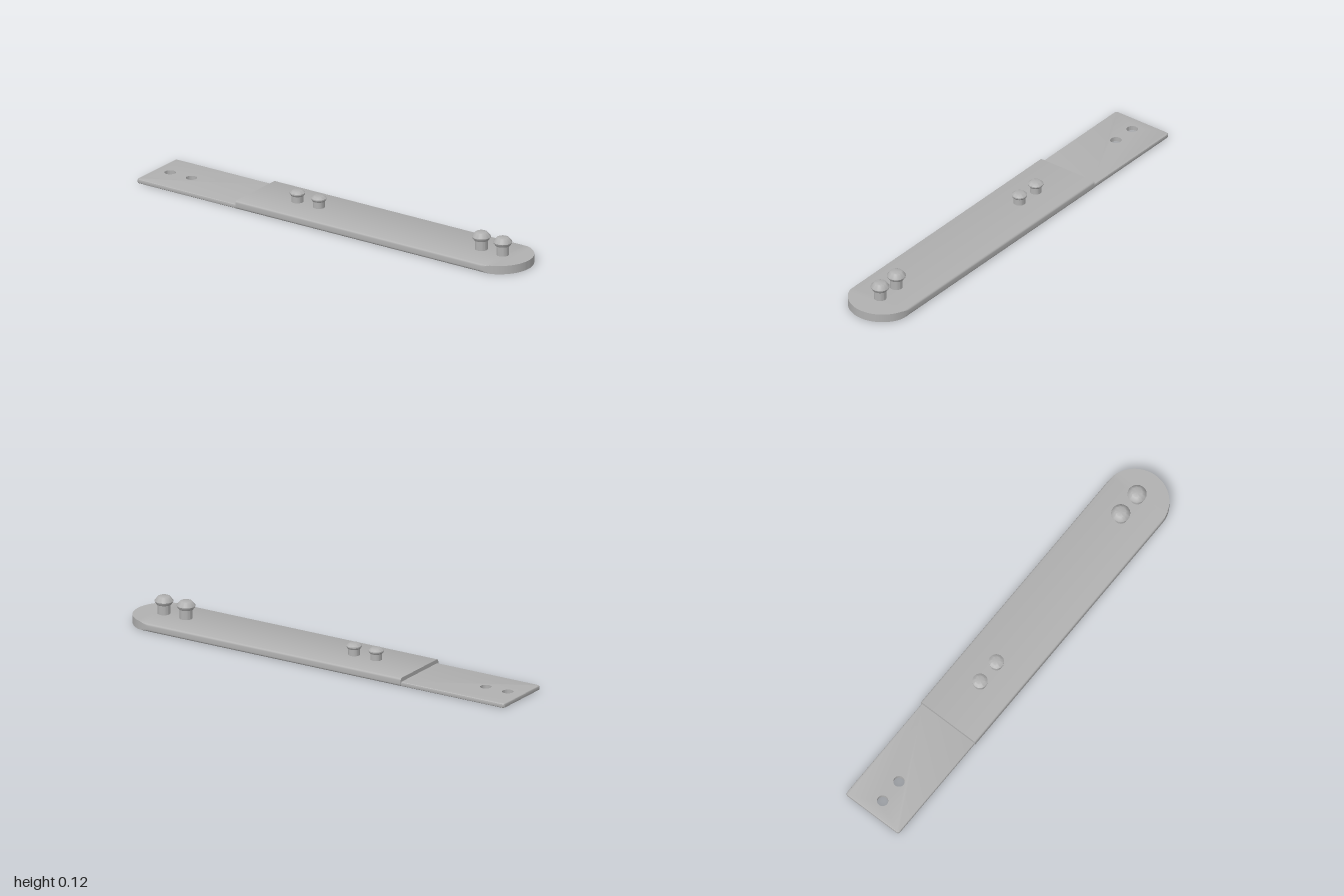
import * as THREE from 'three';
import { toCreasedNormals } from 'three/addons/utils/BufferGeometryUtils.js';

const HALF = 0.152, THICK = 0.039, STEP_X = -0.465, HOLE_R = 0.025;
const HOLES = [-0.925, -0.81];

// Rounded-rectangle section swept along x and trimmed to a semicircular tip
function strapGeometry() {
  const section = [], r = 0.011;
  [[1, 0], [1, 1], [-1, 1], [-1, 0]].forEach(([sz, top], c) => {
    for (let i = 0; i <= 5; i++) {
      const a = (c - 1 + i / 5) * Math.PI / 2;
      section.push([sz * (HALF - r) + r * Math.cos(a), (top ? THICK - r : r) + r * Math.sin(a)]);
    }
  });
  const stations = [[STEP_X, HALF]];
  for (let i = 0; i <= 24; i++) {
    const a = i / 24 * Math.PI / 2;
    stations.push([1 - HALF + HALF * Math.sin(a), HALF * Math.cos(a)]);
  }
  const n = section.length, pos = [], idx = [];
  for (const [x, w] of stations)
    for (const [z, y] of section) pos.push(x, y, THREE.MathUtils.clamp(z, -w, w));
  for (let s = 0; s < stations.length - 1; s++)
    for (let i = 0; i < n; i++) {
      const a = s * n + i, b = s * n + (i + 1) % n;
      idx.push(a, b, a + n, b, b + n, a + n);
    }
  for (let i = 1; i < n - 1; i++) idx.push(0, i + 1, i); // step face
  const g = new THREE.BufferGeometry();
  g.setAttribute('position', new THREE.Float32BufferAttribute(pos, 3));
  g.setIndex(idx);
  // Make the winding face outwards
  const p = g.attributes.position, v = k => new THREE.Vector3().fromBufferAttribute(p, k);
  const centre = new THREE.Vector3(0.3, THICK / 2, 0);
  for (let t = 0; t < idx.length; t += 3) {
    const a = v(idx[t]), b = v(idx[t + 1]), c = v(idx[t + 2]);
    const normal = b.clone().sub(a).cross(c.clone().sub(a));
    if (normal.dot(a.clone().sub(centre)) < 0) [idx[t + 1], idx[t + 2]] = [idx[t + 2], idx[t + 1]];
  }
  g.setIndex(idx);
  return toCreasedNormals(g, 0.5);
}

// Thin tongue with rounded corners, softened edges and two straight holes
function tongueGeometry() {
  const x0 = -1, x1 = STEP_X + 0.012, w = 0.148, r = 0.014, b = 0.006, h = 0.021;
  const s = new THREE.Shape();
  s.moveTo(x1, -w).lineTo(x1, w).lineTo(x0 + r, w);
  s.quadraticCurveTo(x0, w, x0, w - r).lineTo(x0, -w + r);
  s.quadraticCurveTo(x0, -w, x0 + r, -w);
  for (const x of HOLES) s.holes.push(new THREE.Path().absarc(x, 0, HOLE_R, 0, Math.PI * 2, true));
  const g = new THREE.ExtrudeGeometry(s, {
    depth: h - 2 * b, bevelThickness: b, bevelSize: b, bevelOffset: -b, bevelSegments: 3, curveSegments: 16,
  });
  g.translate(0, 0, b).rotateX(-Math.PI / 2);
  const p = g.attributes.position;
  for (let i = 0; i < p.count; i++)
    for (const x of HOLES) {
      const dx = p.getX(i) - x, dz = p.getZ(i), d = Math.hypot(dx, dz);
      if (d < 0.045) p.setXYZ(i, x + dx / d * HOLE_R, p.getY(i), dz / d * HOLE_R);
    }
  return toCreasedNormals(g, 0.5);
}

// Turned stud: straight shank below a flared, bevelled head
function studGeometry(profile) {
  const pts = profile.map(([r, y]) => new THREE.Vector2(r, y));
  return toCreasedNormals(new THREE.LatheGeometry(pts, 32), 0.5);
}

export function createModel() {
  const grey = new THREE.MeshStandardMaterial({ color: 0xb0b0b0 });
  grey.name = 'grey';
  const model = new THREE.Group();
  model.name = 'strap';
  const add = (name, geometry, x = 0) => {
    const m = new THREE.Mesh(geometry, grey);
    m.name = name;
    m.position.x = x;
    model.add(m);
  };

  add('strapBody', strapGeometry());
  add('tongue', tongueGeometry());

  const base = THICK - 0.005;
  const tall = studGeometry([[0.028, base], [0.028, 0.083], [0.033, 0.083], [0.041, 0.095],
    [0.042, 0.098], [0.041, 0.101], [0.027, 0.118], [0.023, 0.12], [0, 0.12]]);
  const short = studGeometry([[0.026, base], [0.026, 0.069], [0.029, 0.069], [0.034, 0.077],
    [0.034, 0.082], [0.023, 0.091], [0.019, 0.0925], [0, 0.0925]]);
  [0.75, 0.865].forEach((x, i) => add('tallStud' + (i + 1), tall, x));
  [-0.24, -0.125].forEach((x, i) => add('shortStud' + (i + 1), short, x));
  return model;
}
